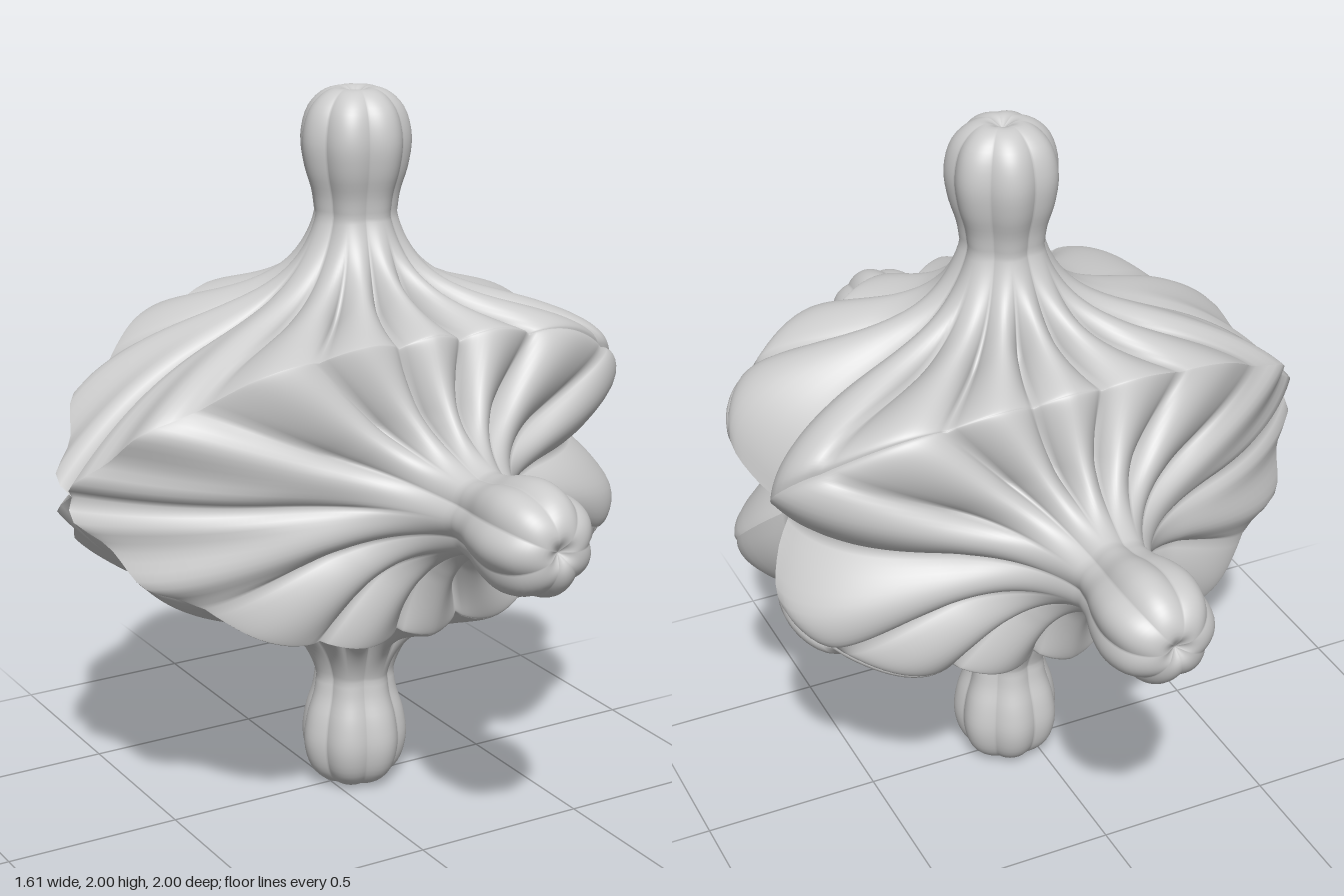
import * as THREE from 'three';

const CX = 0.075;         // stems sit slightly off centre
const COLS = 196;         // columns around each stem
const BODY_ROWS = 50;
const lerp = THREE.MathUtils.lerp;

// Outline of the ridge where two neighbouring quarters meet: x, distance from axis
const ridge = new THREE.CatmullRomCurve3([
  [0.70, 0], [0.77, 0.08], [0.805, 0.17], [0.75, 0.27], [0.64, 0.34], [0.47, 0.40], [0.3, 0.42],
  [0.07, 0.415], [-0.18, 0.42], [-0.41, 0.37], [-0.58, 0.265], [-0.68, 0.215], [-0.73, 0.12],
  [-0.805, 0.045], [-0.78, 0],
].map(([x, d]) => new THREE.Vector3(x - CX, d, 0)), false, 'centripetal').getPoints(120);

// Distance from the stem axis to the ridge outline in direction a (0..PI)
function reach(a) {
  const c = Math.cos(a), s = Math.sin(a);
  for (let i = 0; i < ridge.length - 1; i++) {
    const p = ridge[i], q = ridge[i + 1];
    const sp = c * p.y - s * p.x, sq = c * q.y - s * q.x;
    if (sp <= 1e-9 && sq >= -1e-9 && sq - sp > 1e-9) {
      const f = THREE.MathUtils.clamp(-sp / (sq - sp), 0, 1);
      return Math.hypot(lerp(p.x, q.x, f), lerp(p.y, q.y, f));
    }
  }
  return a < 1 ? ridge[0].length() : ridge[ridge.length - 1].length();
}

// Knob and neck profile: radius, height along the stem
const NECK = 0.114;
const stem = new THREE.CatmullRomCurve3([
  [0.004, 0.98], [0.045, 1], [0.09, 0.988], [0.132, 0.945], [0.152, 0.87], [0.143, 0.79],
  [0.122, 0.72], [NECK, 0.665],
].map(([r, h]) => new THREE.Vector3(r, h, 0))).getPoints(26);

// One quarter: a fluted stem flaring into the ribbed body, facing +z
function quarterGeometry() {
  const pos = [], index = [];
  const angles = Array.from({ length: COLS }, (_, j) => (j / COLS) * Math.PI * 2);
  const stemFlute = (a) => 1 - 0.11 * (1 - Math.abs(Math.sin(3.5 * a)));

  for (const p of stem) {
    for (const a of angles) {
      const r = p.x * stemFlute(a);
      pos.push(CX + r * Math.cos(a), r * Math.sin(a), p.y);
    }
  }

  const reaches = angles.map((a) => reach(a > Math.PI ? 2 * Math.PI - a : a));
  for (let i = 1; i <= BODY_ROWS; i++) {
    const t = 1 - Math.pow(1 - Math.pow(i / BODY_ROWS, 1.4), 1.6);
    angles.forEach((a, j) => {
      const R = reaches[j], left = Math.max(0, -Math.cos(a)), right = Math.max(0, Math.cos(a));
      const r = lerp(NECK, R, t);
      const end = R * Math.abs(Math.sin(a));
      const belly = Math.pow(1 - Math.pow(t, 2.5), 0.6 + 0.4 * left - 0.06 * right);
      const crown = 0.445 - 0.02 * Math.abs(Math.cos(a));
      const flare = (0.665 - crown) * Math.exp(-Math.pow((r - NECK) / 0.095, 0.8)) * (1 - t * t);
      const z = end + (crown - end) * belly + flare;
      // Fourteen rounded ribs with sharp valleys
      const depth = 0.15 * THREE.MathUtils.smoothstep(t, 0, 0.45) * (1 - 0.5 * t ** 4) * (1 - 0.6 * left * t);
      const rib = 1 - depth * (1 - Math.pow(Math.abs(Math.sin(7 * a)), 0.7));
      const rr = r * lerp(1, stemFlute(a), Math.max(0, 1 - 3 * t));
      // Soften the ridge toward both ends
      const y = rr * Math.sin(a);
      const corner = Math.min(1, Math.atan2(Math.abs(y), z) / (Math.PI / 4));
      const scale = rib * (1 - (0.05 * left + 0.08 * right) * corner ** 7);
      pos.push(CX + rr * Math.cos(a), y * scale, z * scale);
    });
  }

  const rows = stem.length + BODY_ROWS;
  for (let i = 0; i < rows - 1; i++) {
    for (let j = 0; j < COLS; j++) {
      const k = (j + 1) % COLS;
      const a = i * COLS + j, b = i * COLS + k, c = a + COLS, d = b + COLS;
      index.push(a, c, d, a, d, b);
    }
  }
  // Close the tip
  const tip = pos.length / 3;
  pos.push(CX, 0, 0.979);
  for (let j = 0; j < COLS; j++) index.push(tip, j, (j + 1) % COLS);

  const geo = new THREE.BufferGeometry();
  geo.setAttribute('position', new THREE.Float32BufferAttribute(pos, 3));
  geo.setIndex(index);
  geo.computeVertexNormals();
  return geo;
}

export function createModel() {
  const group = new THREE.Group();
  group.name = 'ribbedGourd';
  const material = new THREE.MeshStandardMaterial({ color: 0xcccccc, side: THREE.DoubleSide });
  const geometry = quarterGeometry();
  // Four identical quarters around the long axis
  ['frontQuarter', 'bottomQuarter', 'backQuarter', 'topQuarter'].forEach((name, i) => {
    const mesh = new THREE.Mesh(geometry, material);
    mesh.name = name;
    mesh.rotation.x = i * Math.PI / 2;
    mesh.position.y = 1;
    group.add(mesh);
  });
  return group;
}
